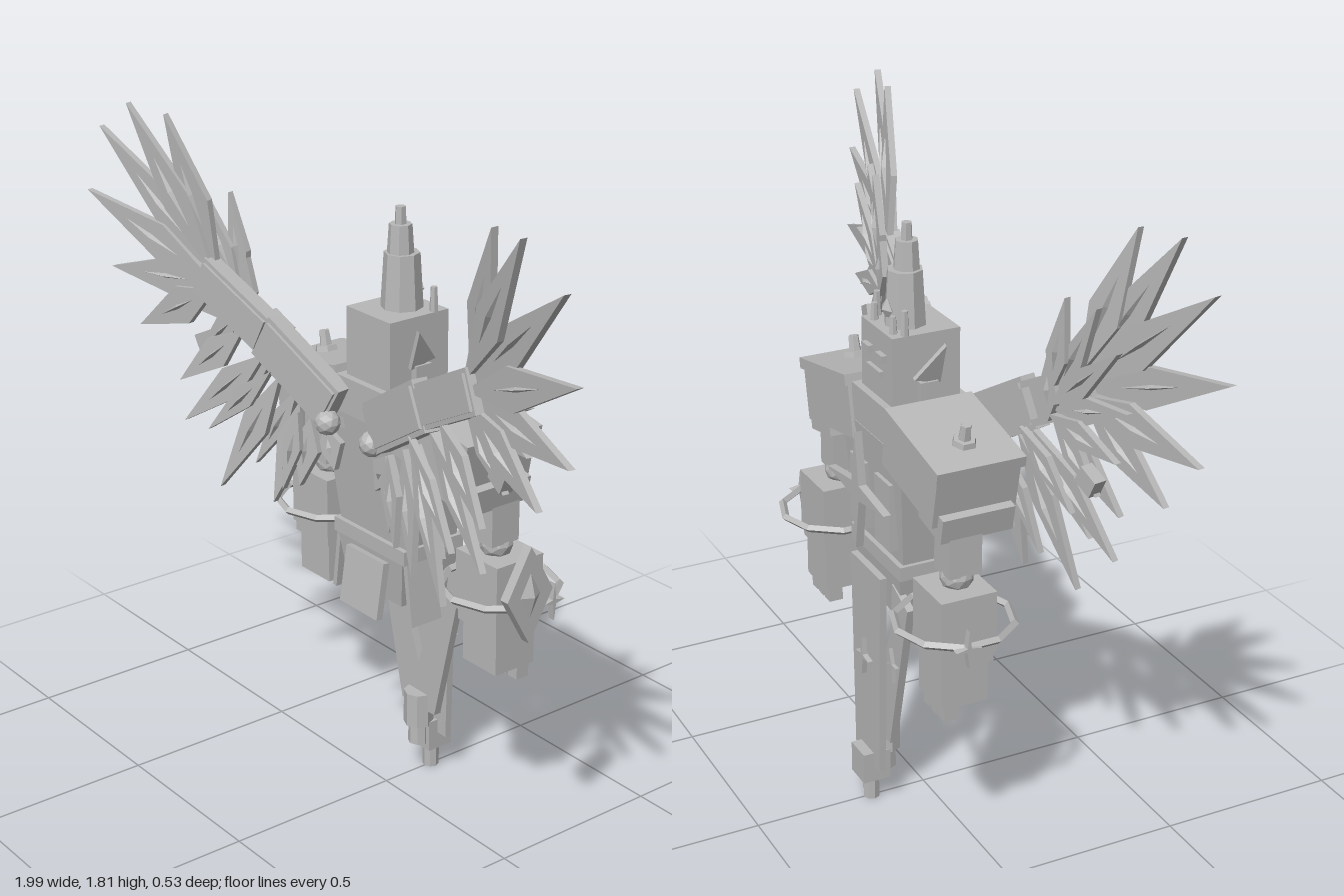
import * as THREE from 'three';

const stone = new THREE.MeshStandardMaterial({ color: 0xb8b8b8, flatShading: true });
stone.name = 'grey stone';

function add(parent, name, geometry, x = 0, y = 0, z = 0) {
  const mesh = new THREE.Mesh(geometry, stone);
  mesh.name = name;
  mesh.position.set(x, y, z);
  parent.add(mesh);
  return mesh;
}

// Box given by its limits
function box(parent, name, x0, x1, y0, y1, z0, z1) {
  return add(parent, name, new THREE.BoxGeometry(x1 - x0, y1 - y0, z1 - z0),
    (x0 + x1) / 2, (y0 + y1) / 2, (z0 + z1) / 2);
}

// Square block whose top and bottom differ
function taper(parent, name, top, bottom, y0, y1, x, z, depth = 1) {
  const g = new THREE.CylinderGeometry(top * Math.SQRT2, bottom * Math.SQRT2, y1 - y0, 4);
  g.rotateY(Math.PI / 4).scale(1, 1, depth);
  return add(parent, name, g, x, (y0 + y1) / 2, z);
}

function prism(parent, name, rTop, rBottom, y0, y1, x, z, sides = 8) {
  return add(parent, name, new THREE.CylinderGeometry(rTop, rBottom, y1 - y0, sides), x, (y0 + y1) / 2, z);
}

function plate(parent, name, points, depth, z) {
  const shape = new THREE.Shape(points.map(([x, y]) => new THREE.Vector2(x, y)));
  return add(parent, name, new THREE.ExtrudeGeometry(shape, { depth, bevelEnabled: false }), 0, 0, z);
}

function starGeometry(w, h, depth) {
  const k = 0.13 * (w + h) / 2;
  const shape = new THREE.Shape([[0, h], [-k, k], [-w, 0], [-k, -k], [0, -h], [k, -k], [w, 0], [k, k]]
    .map(([x, y]) => new THREE.Vector2(x, y)));
  return new THREE.ExtrudeGeometry(shape, { depth, bevelEnabled: false }).translate(0, 0, -depth / 2);
}

// Flat kite-shaped feather with a slim raised quill, its tip leaning forward by tilt
function feather(parent, bx, by, tx, ty, z, width, tilt = 0) {
  const length = Math.hypot(tx - bx, ty - by);
  const group = new THREE.Group();
  group.name = 'feather';
  group.position.set(bx, by, z);
  group.rotation.set(tilt, 0, Math.atan2(bx - tx, ty - by), 'ZYX');
  const mid = length * 0.42;
  plate(group, 'vane', [[0, 0], [width, mid], [0, length], [-width, mid]], 0.018, -0.009);
  const quill = add(group, 'quill', new THREE.OctahedronGeometry(1), 0, length * 0.48, 0);
  quill.scale.set(0.011, length * 0.36, 0.021);
  parent.add(group);
}

function bone(parent, ax, ay, bx, by, width, z) {
  const length = Math.hypot(bx - ax, by - ay);
  const group = new THREE.Group();
  group.name = 'wingBone';
  group.position.set((ax + bx) / 2, (ay + by) / 2, z);
  group.rotation.z = Math.atan2(by - ay, bx - ax);
  box(group, 'boneCore', -length / 2, length / 2, -width / 2, width / 2, -0.022, 0.022);
  box(group, 'boneRidge', -length / 2 + 0.008, length / 2 - 0.008, -width * 0.4, width * 0.4, -0.03, 0.03);
  parent.add(group);
}

function wing() {
  const w = new THREE.Group();
  w.name = 'wing';
  w.position.z = 0.075;
  w.rotation.y = -0.165;
  bone(w, 0.09, 1.115, 0.34, 1.262, 0.135, 0.012);
  bone(w, 0.335, 1.257, 0.575, 1.378, 0.115, 0.008);
  add(w, 'wingJoint', new THREE.IcosahedronGeometry(0.035, 1), 0.1, 1.078, 0.03);
  // Small blocks behind the bones and at the wing's elbow
  const elbow = box(w, 'elbowBlock', 0.3, 0.38, 1.22, 1.3, -0.045, -0.01);
  elbow.rotation.z = 0.5;
  const tab = box(w, 'wingTab', 0.585, 0.645, 1.14, 1.19, -0.055, -0.02);
  tab.rotation.z = -0.45;
  // Large outer fan
  [[0.675, 1.8], [0.81, 1.81], [0.95, 1.72], [1.013, 1.53], [0.955, 1.315], [0.84, 1.17]]
    .forEach(([x, y], i) => feather(w, 0.53, 1.4 - 0.012 * i, x, y, (i % 2) * 0.014 - 0.004, 0.054, 0.09 - 0.022 * i));
  // Smaller fan on the inner layer
  [[0.52, 1.6], [0.62, 1.6], [0.71, 1.52], [0.74, 1.38], [0.72, 1.25], [0.64, 1.13], [0.46, 1.44]]
    .forEach(([x, y], i) => feather(w, 0.47, 1.33 - 0.01 * i, x, y, -0.045 + (i % 2) * 0.012, 0.036));
  // Hanging feathers below the bones
  [[0.35, 1.2, 0.645, 0.94], [0.28, 1.16, 0.49, 0.79], [0.22, 1.1, 0.305, 0.79],
    [0.17, 1.07, 0.2, 0.87], [0.13, 1.05, 0.09, 0.94], [0.42, 1.25, 0.65, 1.06]]
    .forEach(([a, b, x, y], i) => feather(w, a, b, x, y, (i % 2) * 0.014, 0.045, 0.07));
  [[0.3, 1.17, 0.53, 0.95], [0.25, 1.12, 0.4, 0.87], [0.2, 1.08, 0.25, 0.85], [0.33, 1.2, 0.52, 1.03]]
    .forEach(([a, b, x, y], i) => feather(w, a, b, x, y, 0.03 - (i % 2) * 0.05, 0.032, 0.05));
  return w;
}

function arm() {
  const a = new THREE.Group();
  a.name = 'arm';
  // Sloping shoulder block with a knob on top
  const s = new THREE.Group();
  s.name = 'shoulder';
  s.position.set(0.25, 1.1, -0.045);
  s.rotation.z = -0.2;
  box(s, 'shoulderBlock', -0.15, 0.14, -0.08, 0.08, -0.115, 0.115);
  box(s, 'shoulderCap', -0.15, 0.15, 0.06, 0.09, -0.122, 0.122);
  box(s, 'shoulderRim', 0.04, 0.165, -0.115, -0.045, -0.1, 0.1);
  prism(s, 'knobBase', 0.03, 0.035, 0.08, 0.105, 0.05, 0, 6);
  prism(s, 'knob', 0.014, 0.018, 0.1, 0.145, 0.05, 0, 6);
  a.add(s);
  box(a, 'upperArm', 0.305, 0.39, 0.85, 1.0, -0.12, -0.03);
  add(a, 'elbow', new THREE.IcosahedronGeometry(0.045, 1), 0.35, 0.84, -0.08);
  box(a, 'forearm', 0.275, 0.435, 0.645, 0.815, -0.165, -0.01);
  box(a, 'cuff', 0.28, 0.43, 0.615, 0.65, -0.16, -0.015);
  box(a, 'hand', 0.29, 0.42, 0.5, 0.62, -0.155, -0.025);
  for (let i = 0; i < 3; i++) {
    const x = 0.295 + i * 0.042;
    box(a, 'finger', x, x + 0.034, 0.46, 0.5, -0.145, -0.105);
  }
  // Floating bracelet with its star
  const ring = add(a, 'bracelet', new THREE.TorusGeometry(0.155, 0.011, 4, 10), 0.355, 0.72, -0.09);
  ring.geometry.rotateZ(Math.PI / 10).rotateX(Math.PI / 2);
  const star = add(a, 'braceletStar', starGeometry(0.035, 0.052, 0.02), 0.51, 0.72, -0.13);
  star.rotation.y = Math.PI / 2;
  return a;
}

function side() {
  const g = new THREE.Group();
  g.name = 'side';
  g.add(wing(), arm());
  // Head fin and crown spikes
  const fin = plate(g, 'headFin', [[0.02, 0], [0.02, 0.115], [-0.055, 0.02]].reverse(), 0.012, 0);
  fin.geometry.scale(-1, 1, -1);
  fin.rotation.set(0, Math.PI / 2, -0.3, 'ZYX');
  fin.position.set(0.1, 1.25, -0.02);
  box(g, 'finRoot', 0.085, 0.11, 1.2, 1.26, -0.06, -0.01);
  prism(g, 'crownSpike', 0.009, 0.012, 1.38, 1.45, 0.08, -0.09, 6);
  prism(g, 'crownSpike', 0.008, 0.012, 1.38, 1.43, 0.055, -0.11, 6);
  box(g, 'eye', 0.02, 0.06, 1.31, 1.33, -0.145, -0.125);
  // Hip guard and tail panel
  const hip = box(g, 'hipGuard', 0.145, 0.16, 0.56, 0.74, -0.05, 0.05);
  hip.rotation.z = 0.13;
  plate(g, 'tailPanel', [[0.18, 0.66], [0.09, 0.7], [0.08, 0.56], [0, 0.34], [0, 0.2], [0.07, 0.2]], 0.022, -0.135);
  const star = add(g, 'panelStar', starGeometry(0.03, 0.05, 0.012), 0.1, 0.46, -0.14);
  star.rotation.z = 0.2;
  box(g, 'chestPanel', 0.03, 0.12, 0.81, 1.0, -0.155, -0.13);
  return g;
}

export function createModel() {
  const model = new THREE.Group();
  model.name = 'wingedGuardian';

  // Head and stepped crown
  box(model, 'head', -0.09, 0.09, 1.19, 1.385, -0.13, 0.06);
  box(model, 'mouth', -0.04, 0.04, 1.265, 1.28, -0.142, -0.125);
  prism(model, 'crownBase', 0.047, 0.056, 1.38, 1.53, 0, -0.05);
  prism(model, 'crownMiddle', 0.03, 0.035, 1.53, 1.605, 0, -0.045);
  prism(model, 'crownTip', 0.014, 0.016, 1.6, 1.65, 0, -0.045, 6);
  const gem = add(model, 'crownGem', new THREE.OctahedronGeometry(0.03), 0, 1.43, -0.1);
  gem.scale.z = 0.5;

  // Torso and waist
  box(model, 'collar', -0.11, 0.11, 1.1, 1.2, -0.15, 0.08);
  taper(model, 'torso', 0.18, 0.138, 0.77, 1.1, 0, -0.04, 0.62);
  box(model, 'waist', -0.15, 0.15, 0.735, 0.775, -0.14, 0.06);
  taper(model, 'pelvis', 0.138, 0.115, 0.6, 0.74, 0, -0.04, 0.7);
  add(model, 'chestStar', starGeometry(0.17, 0.165, 0.022), 0, 0.945, -0.185);
  const skirt = box(model, 'skirtPlate', -0.08, 0.08, 0.56, 0.72, 0.065, 0.085);
  skirt.rotation.x = -0.15;

  // Central tail panel with its stepped tips
  plate(model, 'centralTail', [[-0.075, 0.12], [0.075, 0.12], [0.09, 0.72], [-0.09, 0.72]], 0.02, -0.17);
  add(model, 'tailStar', starGeometry(0.04, 0.055, 0.015), 0, 0.45, -0.177);
  prism(model, 'frontTip', 0.042, 0.042, 0.15, 0.25, 0, -0.115);
  prism(model, 'frontTipEnd', 0.028, 0.03, 0.09, 0.15, 0, -0.115);
  box(model, 'tailBlock', -0.04, 0.04, 0.07, 0.16, -0.2, -0.12);
  prism(model, 'tailEnd', 0.023, 0.023, 0, 0.07, 0, -0.16);

  // Mirrored halves
  const left = side();
  left.name = 'leftSide';
  const right = side();
  right.name = 'rightSide';
  right.scale.x = -1;
  model.add(left, right);

  // Floating crystal beside the left wing: flat diamond with a raised centre
  const crystal = new THREE.Group();
  crystal.name = 'floatingCrystal';
  crystal.position.set(0.672, 0.873, 0.105);
  crystal.rotation.y = Math.PI / 2;
  plate(crystal, 'crystalRim', [[0, -0.128], [0.072, 0.0], [0, 0.128], [-0.072, 0.0]], 0.026, -0.013);
  const core = add(crystal, 'crystalCore', new THREE.OctahedronGeometry(1));
  core.scale.set(0.055, 0.105, 0.03);
  model.add(crystal);
  return model;
}
